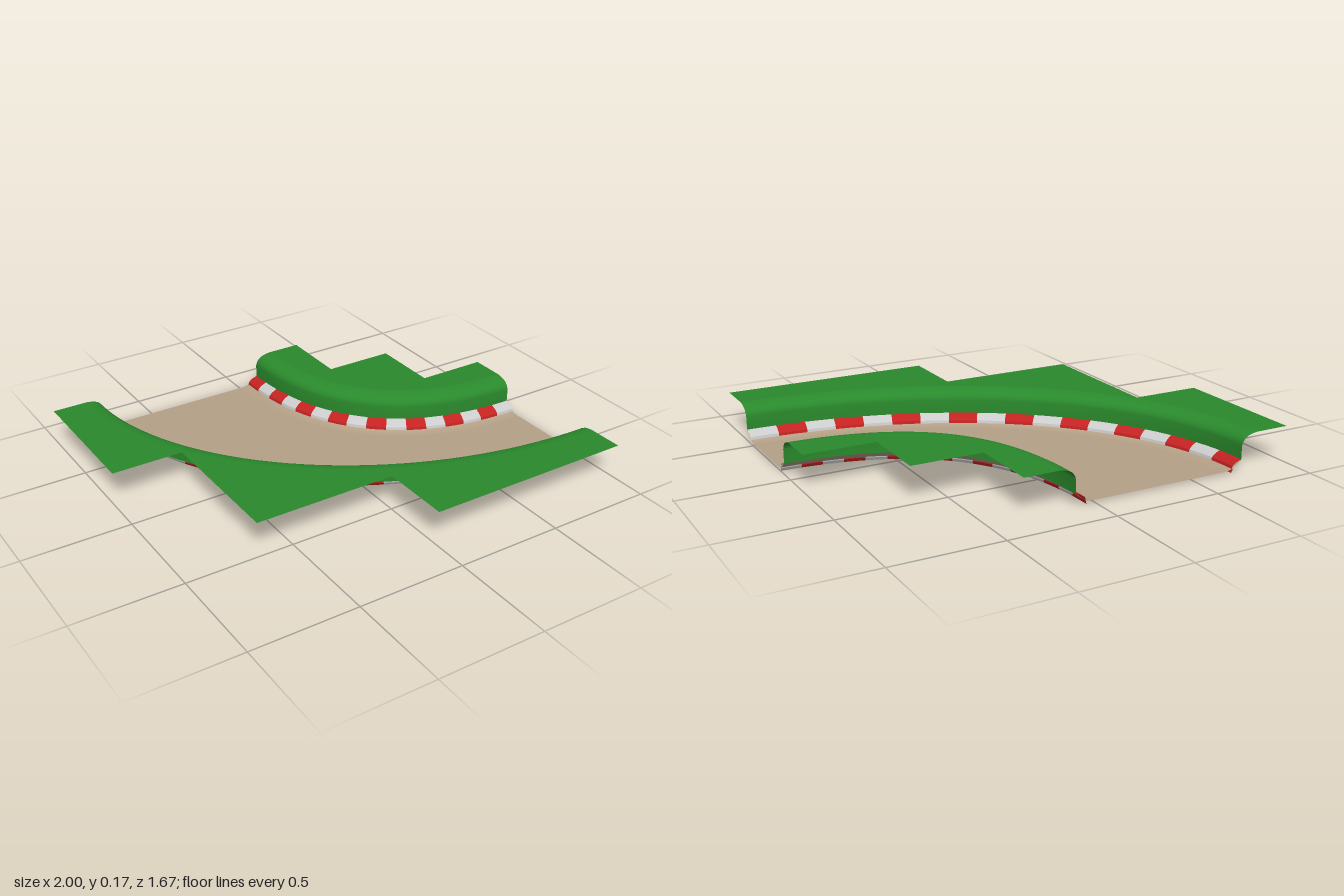
import * as THREE from 'three';
import { mergeGeometries } from 'three/addons/utils/BufferGeometryUtils.js';

const CX = 1, CZ = -0.833; // centre of the bend
const TOP = 0.167, ROAD = 0.01;

const material = (color) => new THREE.MeshStandardMaterial({ color, side: THREE.DoubleSide });
const GREEN = material(0x2a8a2c);
const TAN = material(0xb5a086);
const RED = material(0xc42222);
const WHITE = material(0xcccccc);

// Quarter bend in plan (x, z) from the back edge to the left edge
function bend(rx, rz, k) {
  return new THREE.CubicBezierCurve(
    new THREE.Vector2(CX - rx, CZ),
    new THREE.Vector2(CX - rx, CZ + k * rz),
    new THREE.Vector2(CX - k * rx, CZ + rz),
    new THREE.Vector2(CX, CZ + rz));
}

// Plan point at arc fraction u, moved d towards the road
function offset(edge, u, d) {
  const p = edge.curve.getPointAt(u);
  const t = edge.curve.getTangentAt(u);
  return new THREE.Vector2(p.x - t.y * d * edge.side, p.y + t.x * d * edge.side);
}

// Sweep a profile of [distance towards road, height] along part of a bend
function sweep(edge, profile, u0, u1, steps) {
  const pos = [], index = [], m = profile.length;
  for (let i = 0; i <= steps; i++) {
    const u = u0 + (u1 - u0) * i / steps;
    for (const [d, y] of profile) {
      const p = offset(edge, u, d);
      pos.push(p.x, y, p.y);
    }
  }
  for (let i = 0; i < steps; i++) {
    for (let j = 0; j < m - 1; j++) {
      const a = i * m + j, b = a + 1, c = a + m, e = c + 1;
      if (edge.side > 0) index.push(a, b, c, b, e, c);
      else index.push(a, c, b, b, c, e);
    }
  }
  const g = new THREE.BufferGeometry();
  g.setAttribute('position', new THREE.Float32BufferAttribute(pos, 3));
  g.setIndex(index);
  g.computeVertexNormals();
  return g;
}

// Points along a whole bend at one distance
function line(edge, d) {
  const pts = [];
  for (let i = 0; i <= edge.steps; i++) pts.push(offset(edge, i / edge.steps, d));
  return pts;
}

// Flat horizontal sheet from plan points
function sheet(points, y) {
  const shape = new THREE.Shape(points.map((p) => new THREE.Vector2(p.x, -p.y)));
  return new THREE.ShapeGeometry(shape).rotateX(-Math.PI / 2).translate(0, y, 0);
}

const BANK = [[0, 0.05], [0, 0.115], [-0.006, 0.133], [-0.018, 0.148], [-0.036, 0.158], [-0.058, 0.164], [-0.08, TOP]];
const VERGE = [[0, 0.05], [0.05, 0.016], [0.07, 0.012], [0.09, ROAD]];
const KERB_TOP = [[0, 0.054], [0.028, 0.043], [0.045, 0.03]];
const KERB_LIP = [[0.045, 0.03], [0.052, 0]];
const KERB_BASE = [[0.052, 0], [0.042, 0.015]];

export function createModel() {
  const model = new THREE.Group();
  const add = (name, geometry, mat, parent = model) => {
    const mesh = new THREE.Mesh(geometry, mat);
    mesh.name = name;
    parent.add(mesh);
  };

  // side: +1 when the road lies to the inside of the bend's curve, -1 outside
  const edges = [
    {
      name: 'outer', curve: bend(1.755, 1.417, 0.552), side: -1, stripes: 18, steps: 36,
      border: [[1, 0.833], [0, 0.833], [0, 0.5], [-0.667, 0.5], [-0.667, -0.167], [-1, -0.167], [-1, CZ]],
    },
    {
      name: 'inner', curve: bend(0.909, 0.907, 0.65), side: 1, stripes: 16, steps: 32,
      border: [[1, -0.167], [0.667, -0.167], [0.667, -0.5], [0.333, -0.5], [0.333, CZ]],
    },
  ];

  for (const edge of edges) {
    const side = new THREE.Group();
    side.name = edge.name + 'Edge';
    model.add(side);

    // Grass bank with its stepped flat top
    add(edge.name + 'Bank', sweep(edge, BANK, 0, 1, edge.steps), GREEN, side);
    const border = edge.border.map(([x, z]) => new THREE.Vector2(x, z));
    add(edge.name + 'Grass', sheet([...line(edge, -0.08), ...border], TOP), GREEN, side);

    // Sloped road edge
    add(edge.name + 'Verge', sweep(edge, VERGE, 0, 1, edge.steps), TAN, side);

    // Kerb in alternating blocks
    const blocks = [[], []];
    for (let i = 0; i < edge.stripes; i++) {
      for (const profile of [KERB_TOP, KERB_LIP, KERB_BASE]) {
        blocks[i % 2].push(sweep(edge, profile, i / edge.stripes, (i + 1) / edge.stripes, 2));
      }
    }
    add(edge.name + 'KerbRed', mergeGeometries(blocks[0]), RED, side);
    add(edge.name + 'KerbWhite', mergeGeometries(blocks[1]), WHITE, side);
  }

  // Flat road between the two sloped edges
  const [outer, inner] = edges;
  add('road', sheet([...line(outer, 0.09), ...line(inner, 0.09).reverse()], ROAD), TAN);

  return model;
}
